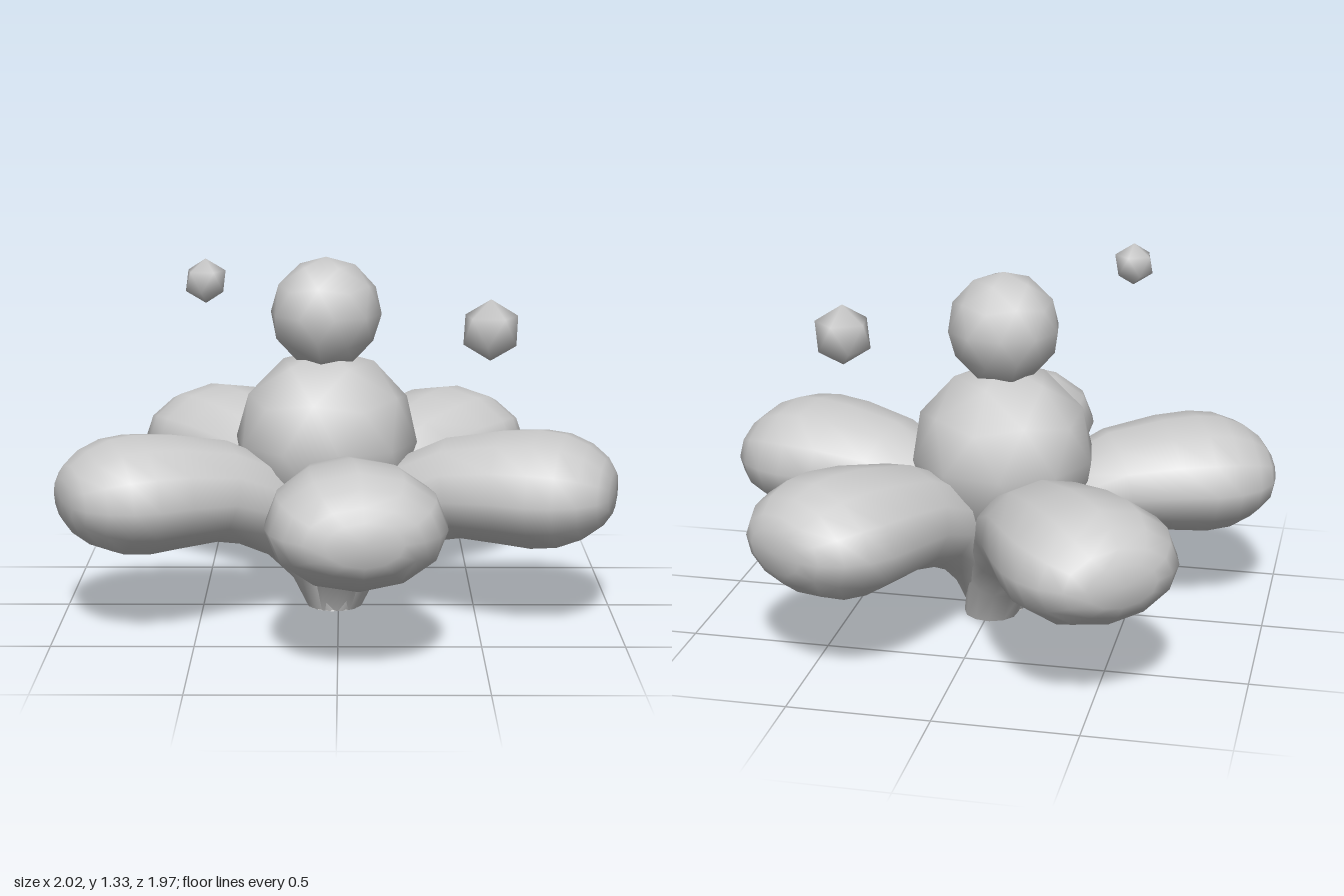
import * as THREE from 'three';
import { mergeVertices } from 'three/addons/utils/BufferGeometryUtils.js';

const material = new THREE.MeshStandardMaterial({ color: 0xcccccc });
const SIDES = 12;

// Petal cross-sections along its spine: [distance out, height, half width, half thickness]
const SECTIONS = [
  [0, 0, 0.1, 0.1],
  [0.07, 0.165, 0.12, 0.1],
  [0.155, 0.3, 0.15, 0.13],
  [0.28, 0.41, 0.19, 0.165],
  [0.45, 0.475, 0.248, 0.185],
  [0.62, 0.49, 0.293, 0.203],
  [0.74, 0.49, 0.308, 0.212],
  [0.83, 0.49, 0.297, 0.202],
  [0.91, 0.49, 0.26, 0.168],
  [0.97, 0.49, 0.2, 0.12],
  [1.0, 0.49, 0.13, 0.075],
];

// Petals: [turn in degrees, length, foot x, foot z]
const PETALS = [
  [6, 0.99, -0.015, -0.015],
  [75, 1.025, -0.015, -0.015],
  [145, 1.02, -0.015, -0.015],
  [216.5, 1.025, -0.005, -0.07],
  [292, 1.02, -0.015, -0.015],
];

// Elliptical sections swept along a spine that rises and then bends outward
function petalGeometry() {
  const pos = [], index = [], last = SECTIONS.length - 1;
  SECTIONS.forEach(([z, y, w, h], i) => {
    const p = SECTIONS[Math.max(i - 1, 0)], q = SECTIONS[Math.min(i + 1, last)];
    const t = i === 0 ? new THREE.Vector2(0, 1) : new THREE.Vector2(q[0] - p[0], q[1] - p[1]).normalize();
    for (let j = 0; j < SIDES; j++) {
      const a = (j / SIDES) * Math.PI * 2, s = h * Math.sin(a);
      pos.push(w * Math.cos(a), y + s * t.x, z - s * t.y);
    }
    if (i === last) return;
    for (let j = 0; j < SIDES; j++) {
      const k = (j + 1) % SIDES, a = i * SIDES, b = a + SIDES;
      index.push(a + j, a + k, b + k, a + j, b + k, b + j);
    }
  });
  // rounded end
  const tip = pos.length / 3;
  pos.push(0, 0.49, 1.007);
  for (let j = 0; j < SIDES; j++) index.push(last * SIDES + j, last * SIDES + ((j + 1) % SIDES), tip);

  const g = new THREE.BufferGeometry();
  g.setAttribute('position', new THREE.Float32BufferAttribute(pos, 3));
  g.setIndex(index);
  g.computeVertexNormals();
  return g;
}

// Smooth faceted ball with a vertex at its top
function ball(name, radius, detail, x, y, z) {
  let g = new THREE.IcosahedronGeometry(radius, detail);
  g.deleteAttribute('uv');
  g.deleteAttribute('normal');
  g = mergeVertices(g, 1e-4);
  g.rotateZ(Math.atan(2 / (1 + Math.sqrt(5))));
  g.rotateY(Math.PI * 1.05);
  g.computeVertexNormals();
  const mesh = new THREE.Mesh(g, material);
  mesh.name = name;
  mesh.position.set(x, y, z);
  return mesh;
}

export function createModel() {
  const model = new THREE.Group();
  model.name = 'flower';

  // five petals, each with a flat cap under its foot
  const shape = petalGeometry();
  const disc = new THREE.CircleGeometry(0.1, SIDES).rotateX(Math.PI / 2);
  PETALS.forEach(([turn, length, x, z], i) => {
    const petal = new THREE.Mesh(shape, material);
    petal.name = `petal${i + 1}`;
    petal.position.set(x, 0, z);
    petal.rotation.y = THREE.MathUtils.degToRad(turn);
    petal.scale.z = length;
    const cap = new THREE.Mesh(disc, material);
    cap.name = 'footCap';
    petal.add(cap);
    model.add(petal);
  });

  // stacked balls in the middle and two floating beads
  model.add(
    ball('centreBall', 0.336, 1, -0.045, 0.62, -0.053),
    ball('topBall', 0.204, 1, -0.045, 1.088, -0.05),
    ball('largeBead', 0.113, 0, 0.553, 1.025, -0.045),
    ball('smallBead', 0.077, 0, -0.455, 1.255, 0.31),
  );
  return model;
}
